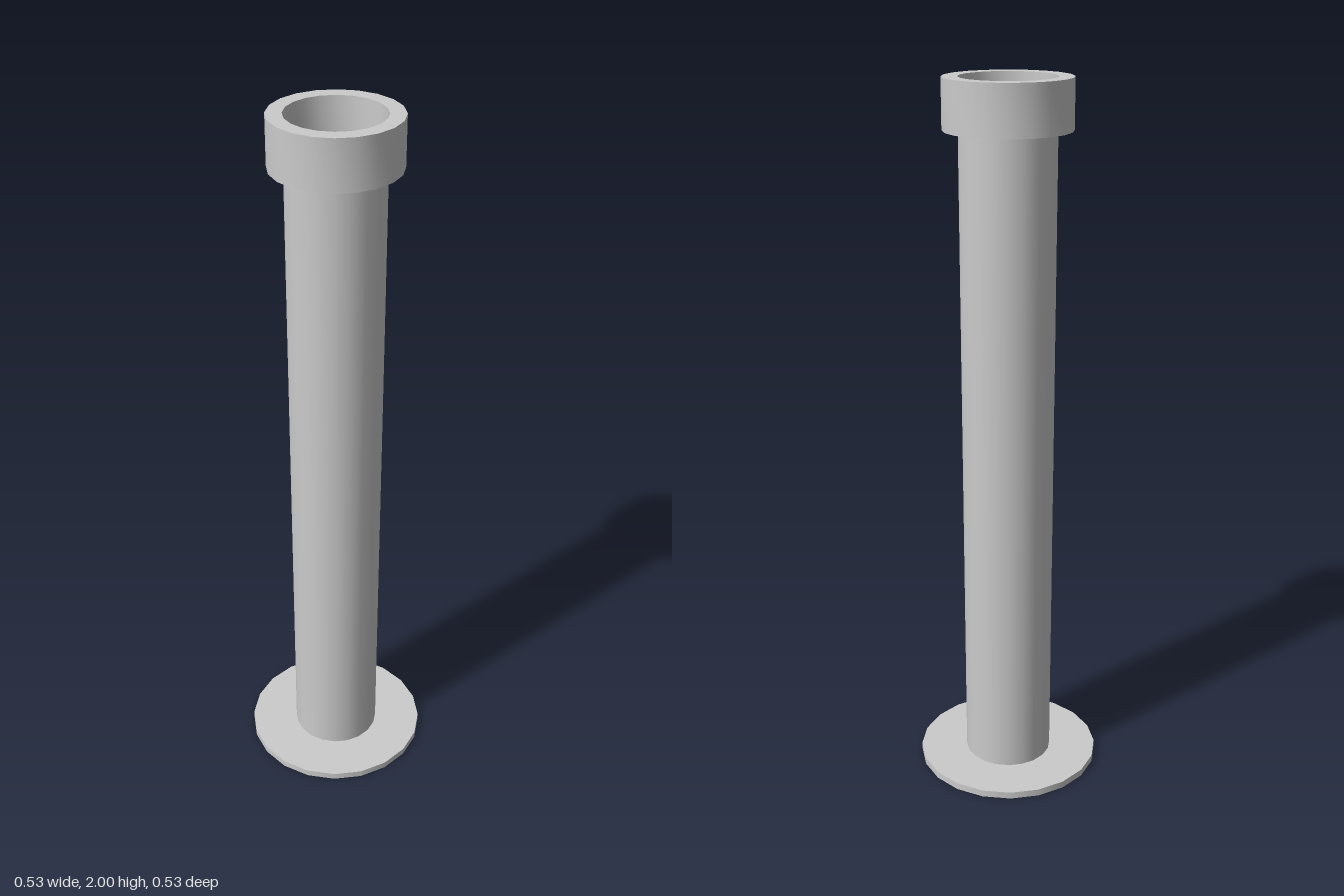
import * as THREE from 'three';
import { toCreasedNormals } from 'three/addons/utils/BufferGeometryUtils.js';

const SIDES = 20;

export function createModel() {
  const group = new THREE.Group();
  const material = new THREE.MeshStandardMaterial({ color: 0xcccccc });

  const add = (name, geometry, y) => {
    const mesh = new THREE.Mesh(geometry, material);
    mesh.name = name;
    mesh.position.y = y;
    group.add(mesh);
  };

  // Thin round foot plate
  add('basePlate', new THREE.CylinderGeometry(0.263, 0.263, 0.02, SIDES), 0.01);

  // Tall, very slightly tapered column
  add('shaft', new THREE.CylinderGeometry(0.13, 0.126, 1.845, SIDES), 0.02 + 1.845 / 2);

  // Hollow collar: closed rectangular section turned around the axis
  const section = [
    [0.13, 0], [0.172, 0], [0.172, 0.135], [0.13, 0.135], [0.13, 0],
  ].map(([r, y]) => new THREE.Vector2(r, y));
  add('collar', toCreasedNormals(new THREE.LatheGeometry(section, SIDES), 0.6), 1.865);

  return group;
}
